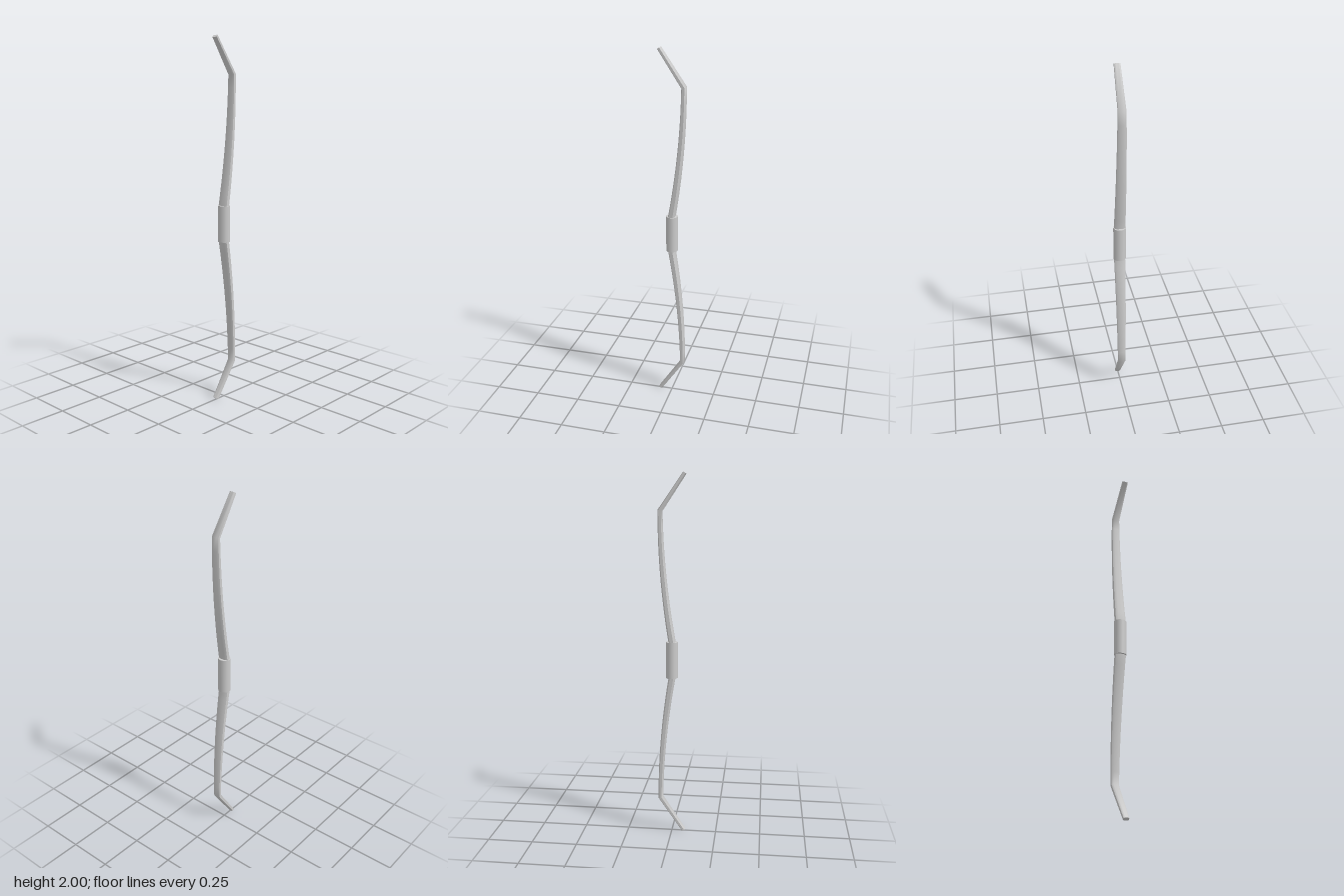
import * as THREE from 'three';
import { toCreasedNormals } from 'three/addons/utils/BufferGeometryUtils.js';

const material = new THREE.MeshStandardMaterial({ color: 0xcccccc });
const SIDES = 8;

// Rounded-rectangular section, w and t are half sizes
function sectionPoint(i, w, t) {
  const a = ((i + 0.5) / SIDES) * Math.PI * 2;
  const round = (v) => (Math.sign(v) * Math.abs(v) ** 0.7) / 0.946;
  return [round(Math.cos(a)) * w, round(Math.sin(a)) * t];
}

// Stations of the upper limb: height above the grip centre, z, half width, half thickness
function limbStations() {
  const curve = new THREE.QuadraticBezierCurve(
    new THREE.Vector2(0.08, 0.004), new THREE.Vector2(0.45, -0.061), new THREE.Vector2(0.8, -0.063));
  const list = curve.getPoints(10).map((p, i) => {
    const k = i / 10;
    return { y: p.x, z: p.y, w: 0.03 - 0.009 * k, t: 0.018 - 0.006 * k };
  });
  list.push({ y: 0.993, z: 0.067, w: 0.016, t: 0.01 });
  return list;
}

// Lofts the sections along the whole bow, lower tip to upper tip
function staveGeometry() {
  const upper = limbStations();
  const stations = [...upper.map((s) => ({ ...s, y: -s.y })).reverse(), ...upper];
  const dirs = stations.slice(1).map((s, i) =>
    new THREE.Vector2(s.y - stations[i].y, s.z - stations[i].z).normalize());
  const pos = [], index = [];
  const last = stations.length - 1;
  stations.forEach((s, j) => {
    const a = dirs[Math.max(j - 1, 0)], b = dirs[Math.min(j, last - 1)];
    const d = a.clone().add(b).normalize();
    const miter = 1 / d.dot(a);
    for (let i = 0; i < SIDES; i++) {
      const [u, v] = sectionPoint(i, s.w, s.t * miter);
      pos.push(u, 1 + s.y - d.y * v, s.z + d.x * v);
    }
  });
  for (let j = 0; j < last; j++) {
    for (let i = 0; i < SIDES; i++) {
      const a = j * SIDES + i, b = j * SIDES + ((i + 1) % SIDES);
      index.push(a, a + SIDES, b, b, a + SIDES, b + SIDES);
    }
  }
  // Tip caps
  const top = last * SIDES;
  for (let i = 1; i < SIDES - 1; i++) {
    index.push(0, i, i + 1, top, top + i + 1, top + i);
  }
  const geo = new THREE.BufferGeometry();
  geo.setAttribute('position', new THREE.Float32BufferAttribute(pos, 3));
  geo.setIndex(index);
  return toCreasedNormals(geo, 0.95);
}

export function createModel() {
  const group = new THREE.Group();
  group.name = 'recurveBow';

  const stave = new THREE.Mesh(staveGeometry(), material);
  stave.name = 'limbs';
  group.add(stave);

  // Wrapped handle around the middle of the stave
  const grip = new THREE.Mesh(new THREE.CylinderGeometry(0.035, 0.035, 0.2, 12), material);
  grip.name = 'grip';
  grip.rotation.y = Math.PI / 2;
  grip.scale.x = 0.93;
  grip.position.y = 1;
  group.add(grip);

  return group;
}
